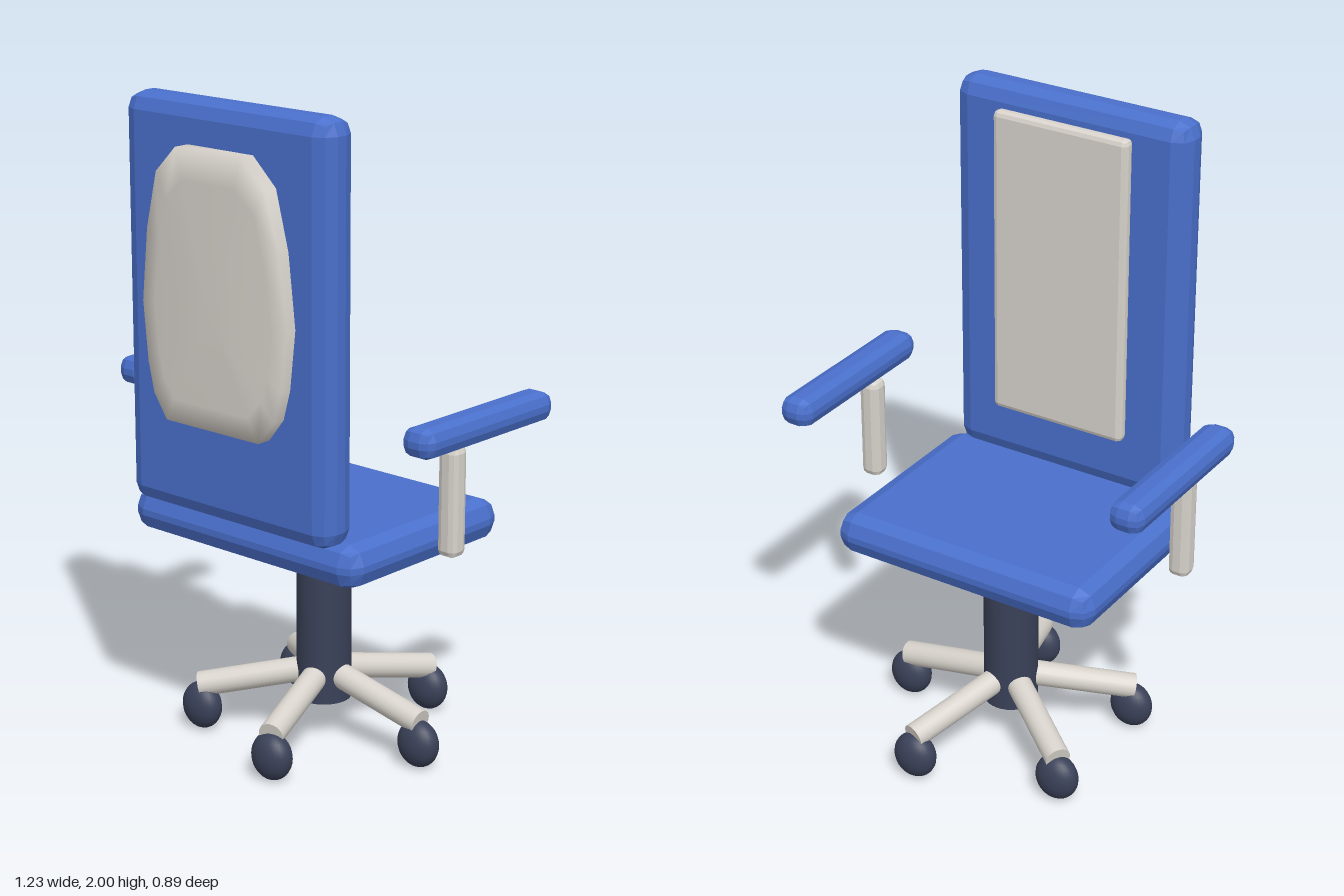
import * as THREE from 'three';
import { RoundedBoxGeometry } from 'three/addons/geometries/RoundedBoxGeometry.js';

const paint = (color, flatShading = false) => new THREE.MeshStandardMaterial({ color, flatShading });

export function createModel() {
  const chair = new THREE.Group();
  const blue = paint(0x4a70cc, true);
  const cream = paint(0xd8d3cc);
  const creamFlat = paint(0xd8d3cc, true);
  const dark = paint(0x3a4158);

  const add = (name, geometry, material, x = 0, y = 0, z = 0) => {
    const mesh = new THREE.Mesh(geometry, material);
    mesh.name = name;
    mesh.position.set(x, y, z);
    chair.add(mesh);
    return mesh;
  };
  // Box with a two-step bevel on every edge
  const bevelBox = (w, h, d, r) => new RoundedBoxGeometry(w, h, d, 1, r);

  // Upholstery
  add('seat', bevelBox(0.885, 0.13, 0.68, 0.055), blue, 0, 0.723, 0);
  add('backrest', bevelBox(0.78, 1.22, 0.133, 0.05), blue, 0, 1.39, 0.324);
  add('backPanel', bevelBox(0.45, 0.97, 0.045, 0.016), creamFlat, 0, 1.455, 0.233);
  add('backShell', shellGeometry(), cream, 0, 1.42, 0);

  // Arms
  for (const [side, s] of [['left', 1], ['right', -1]]) {
    add(side + 'Armrest', bevelBox(0.107, 0.09, 0.58, 0.035), blue, s * 0.563, 1.1, -0.068);
    add(side + 'ArmPost', bevelBox(0.065, 0.33, 0.065, 0.02), creamFlat, s * 0.547, 0.89, 0.028);
  }

  // Column and five-legged base
  const hubZ = -0.04;
  add('column', new THREE.CylinderGeometry(0.084, 0.084, 0.56, 32), dark, 0, 0.405, hubZ);
  for (let i = 0; i < 5; i++) {
    const a = (i * Math.PI * 2) / 5;
    const dir = new THREE.Vector3(Math.cos(a), 0, Math.sin(a));
    const start = dir.clone().multiplyScalar(0.03).setY(0.215);
    const end = dir.clone().multiplyScalar(0.385).setY(0.142);
    const span = end.clone().sub(start);
    const mid = start.clone().add(end).multiplyScalar(0.5);
    const leg = add('leg' + (i + 1), new THREE.CylinderGeometry(0.039, 0.039, span.length(), 20), cream,
      mid.x, mid.y, mid.z + hubZ);
    leg.quaternion.setFromUnitVectors(new THREE.Vector3(0, 1, 0), span.normalize());

    const caster = add('caster' + (i + 1), new THREE.SphereGeometry(1, 24, 16), dark,
      dir.x * 0.378, 0.074, dir.z * 0.378 + hubZ);
    caster.scale.set(0.07, 0.074, 0.05);
  }
  return chair;
}

// Gently bowed shell: a closed outline lofted from the rim to the middle
function shellGeometry() {
  // Right half of the outline, bottom to top, then mirrored
  const half = [[0.18, -0.345], [0.235, -0.275], [0.26, -0.185], [0.28, -0.01],
    [0.255, 0.205], [0.21, 0.375], [0.125, 0.455]];
  const outline = [...half, ...half.slice().reverse().map(([x, y]) => [-x, y])];
  const n = outline.length;
  const bow = (x) => 0.445 - 0.25 * x * x;
  const positions = [];
  const index = [];
  const rings = [1, 1, 0.8, 0.4];
  rings.forEach((s, r) => {
    for (const [x, y] of outline) positions.push(x * s, y * s, r === 0 ? 0.37 : bow(x * s));
  });
  for (let r = 0; r < rings.length - 1; r++) {
    for (let i = 0; i < n; i++) {
      const a = r * n + i, b = r * n + (i + 1) % n;
      index.push(a, b, b + n, a, b + n, a + n);
    }
  }
  // Close the middle
  const centre = positions.length / 3;
  positions.push(0, 0, bow(0));
  const last = (rings.length - 1) * n;
  for (let i = 0; i < n; i++) index.push(last + i, last + (i + 1) % n, centre);

  const g = new THREE.BufferGeometry();
  g.setAttribute('position', new THREE.Float32BufferAttribute(positions, 3));
  g.setIndex(index);
  g.computeVertexNormals();
  return g;
}
